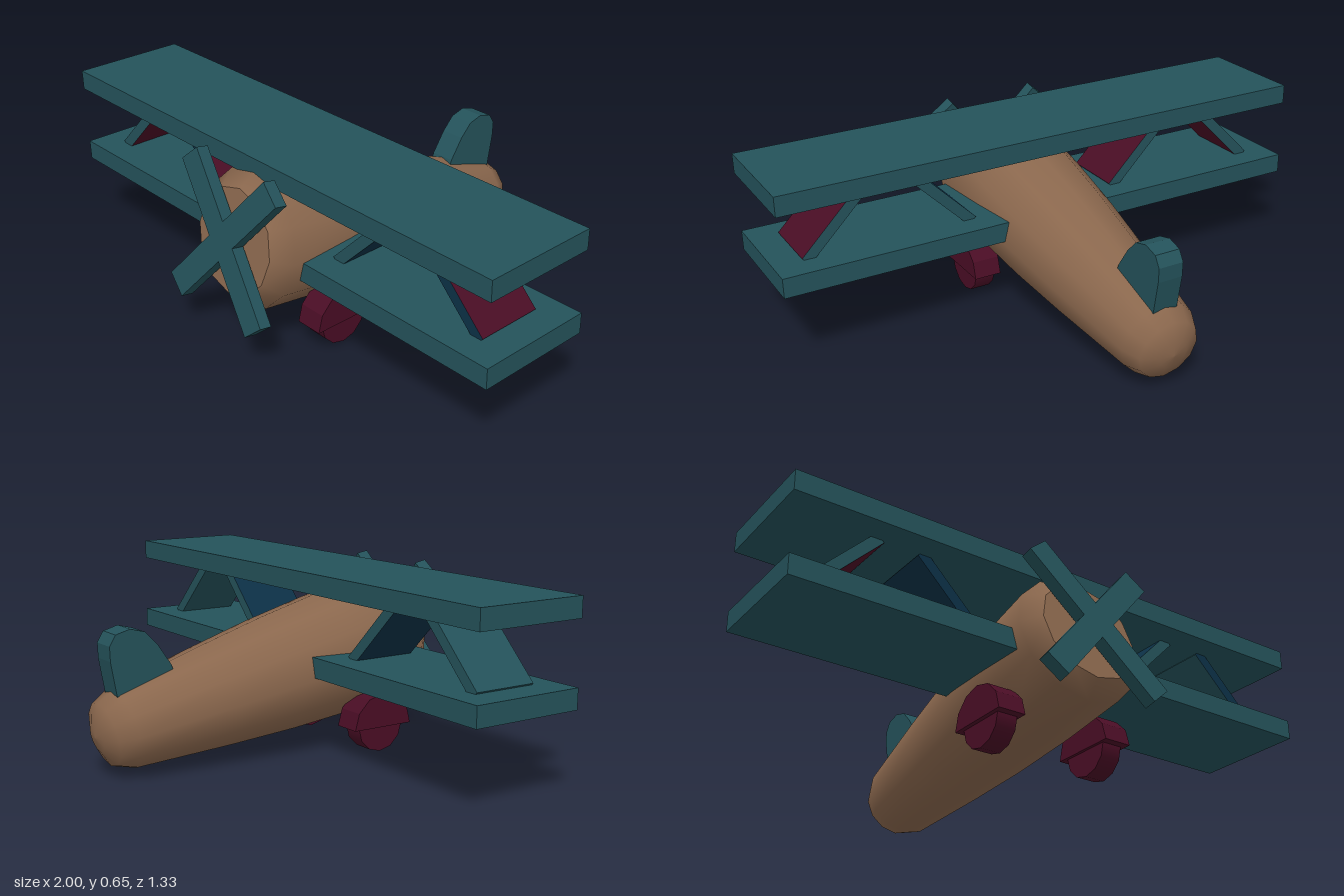
import * as THREE from 'three';

const mat = (name, color) => {
  const m = new THREE.MeshStandardMaterial({ color });
  m.name = name;
  return m;
};

export function createModel() {
  const teal = mat('teal', 0x24525a);
  const brown = mat('brown', 0x8a674d);
  const maroon = mat('maroon', 0x4a0d25);
  const navy = mat('navy', 0x0c3046);
  const plane = new THREE.Group();
  plane.name = 'biplane';
  const tilt = THREE.MathUtils.degToRad(11); // nose-up attitude

  const add = (name, geometry, material, x = 0, y = 0, z = 0, parent = plane) => {
    const mesh = new THREE.Mesh(geometry, material);
    mesh.name = name;
    mesh.position.set(x, y, z);
    parent.add(mesh);
    return mesh;
  };

  // Fuselage: twelve-sided tapering barrel with rounded tail and flat nose
  const fuselage = new THREE.Group();
  fuselage.name = 'fuselage';
  fuselage.position.set(0, 0.3625, 0.505);
  fuselage.rotation.x = Math.PI / 2 - tilt;
  plane.add(fuselage);
  const lathe = pts => new THREE.LatheGeometry(pts.map(p => new THREE.Vector2(...p)), 12);
  add('body', lathe([
    [0, -1.186], [0.05, -1.179], [0.11, -1.152], [0.138, -1.09], [0.181, -0.75],
    [0.208, -0.5], [0.226, -0.25], [0.235, 0], [0.18, 0.058],
  ]), brown, 0, 0, 0, fuselage);
  add('noseCap', lathe([[0.18, 0.058], [0, 0.058]]), brown, 0, 0, 0, fuselage);

  // Wings
  const wing = new THREE.BoxGeometry(2, 0.07, 0.41);
  add('lowerWing', wing, teal, 0, 0.32, 0.265);
  add('upperWing', wing, teal, 0, 0.602, 0.265);

  // Slanted struts between the wings; sides listed as +x, -x, front, back
  const strutGeo = new THREE.BoxGeometry(0.038, 0.32, 0.23);
  const strut = (name, x, lean, [px, nx, front, back]) => {
    const s = add(name, strutGeo, [px, nx, teal, teal, front, back], x, 0.461, 0.265);
    s.rotation.z = lean * Math.PI / 4;
  };
  strut('leftOuterStrut', 0.775, 1, [maroon, teal, navy, teal]);
  strut('leftInnerStrut', 0.4, -1, [navy, navy, teal, teal]);
  strut('rightInnerStrut', -0.4, 1, [maroon, navy, navy, teal]);
  strut('rightOuterStrut', -0.775, -1, [maroon, teal, teal, teal]);

  // Crossed propeller blades
  const propeller = new THREE.Group();
  propeller.name = 'propeller';
  propeller.position.set(0, 0.387, 0.592);
  propeller.rotation.x = -tilt;
  plane.add(propeller);
  for (const side of [-1, 1]) {
    const blade = add('blade', new THREE.BoxGeometry(0.09, 0.615, 0.044), teal, 0, 0, 0, propeller);
    blade.rotation.z = side * THREE.MathUtils.degToRad(41);
  }

  // Tail fin: outline in (-z, y), extruded across x
  const outline = [
    [0.38, 0.3], [0.4, 0.357], [0.45, 0.43], [0.495, 0.476], [0.548, 0.49],
    [0.6, 0.476], [0.622, 0.44], [0.62, 0.39], [0.6, 0.28], [0.58, 0.2],
  ];
  const finShape = new THREE.Shape(outline.map(p => new THREE.Vector2(...p)));
  const finGeo = new THREE.ExtrudeGeometry(finShape, { depth: 0.09, bevelEnabled: false });
  finGeo.translate(0, 0, -0.045).rotateY(Math.PI / 2);
  add('tailFin', finGeo, teal);

  // Wheels under half-round fairings
  const wheelGeo = new THREE.CylinderGeometry(0.093, 0.093, 0.074, 12).rotateZ(Math.PI / 2);
  const arch = new THREE.Shape();
  for (let i = 0; i <= 6; i++) {
    const a = i * Math.PI / 6;
    arch[i ? 'lineTo' : 'moveTo'](Math.cos(a) * 0.12, Math.sin(a) * 0.12);
  }
  const archGeo = new THREE.ExtrudeGeometry(arch, { depth: 0.1, bevelEnabled: false });
  archGeo.translate(0, 0, -0.05).rotateY(Math.PI / 2);
  for (const side of [-1, 1]) {
    add('wheel', wheelGeo, maroon, side * 0.208, 0.093, 0.315);
    add('wheelFairing', archGeo, maroon, side * 0.21, 0.09, 0.315);
  }
  return plane;
}
